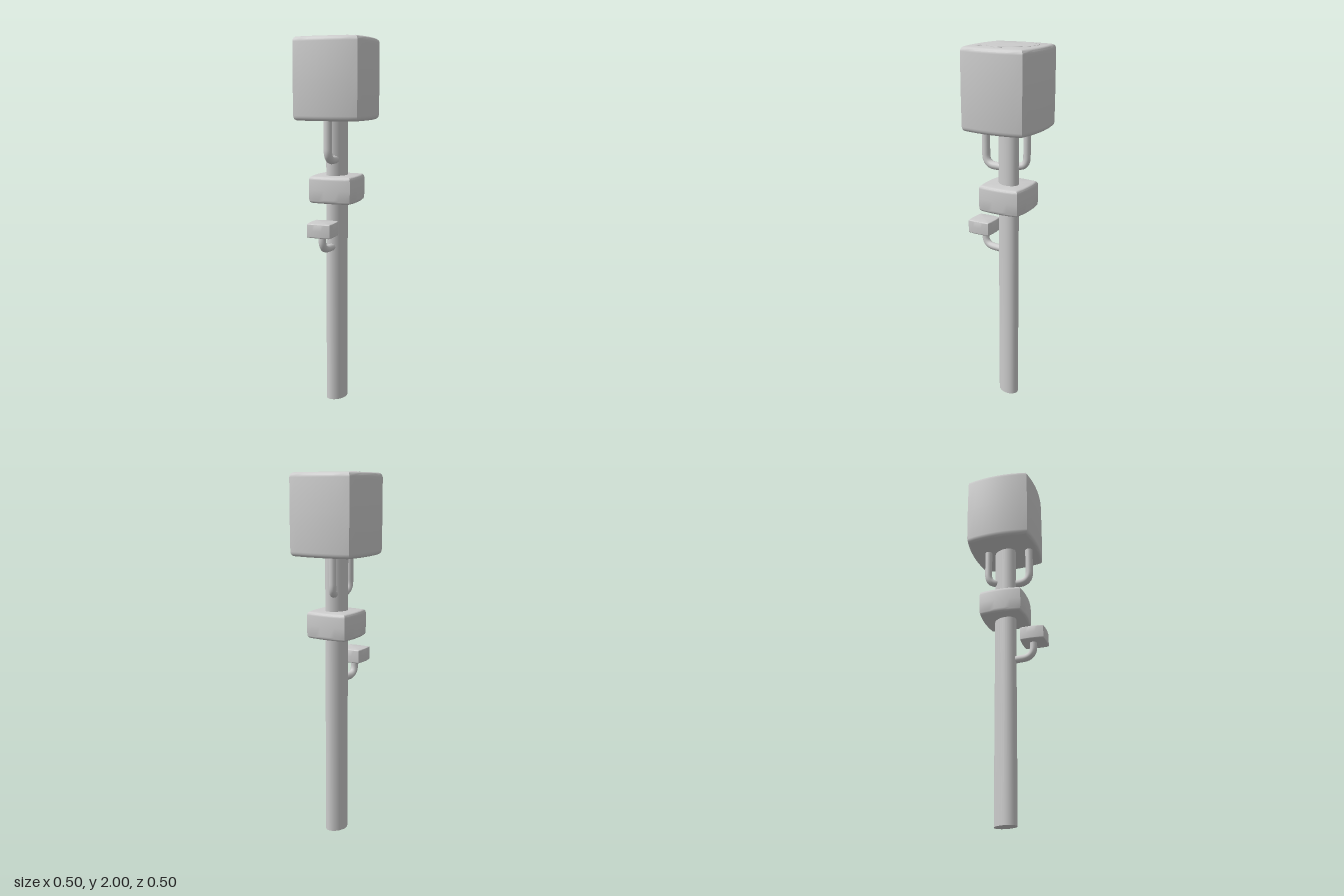
import * as THREE from 'three';
import { toCreasedNormals } from 'three/addons/utils/BufferGeometryUtils.js';

const material = new THREE.MeshStandardMaterial({ color: 0xcccccc });
const V = (x, y, z) => new THREE.Vector3(x, y, z);

function add(group, name, geometry, position) {
  const mesh = new THREE.Mesh(geometry, material);
  mesh.name = name;
  if (position) mesh.position.copy(position);
  group.add(mesh);
  return mesh;
}

// Unit diamond outline with gently bulging sides
function diamond(bulge, steps = 8) {
  const corners = [[0, 1], [1, 0], [0, -1], [-1, 0]];
  const points = [];
  corners.forEach(([ax, az], i) => {
    const [bx, bz] = corners[(i + 1) % 4];
    for (let k = 0; k < steps; k++) {
      const t = k / steps, b = 4 * t * (1 - t) * bulge;
      points.push([ax + (bx - ax) * t + (ax + bx) * b, az + (bz - az) * t + (az + bz) * b]);
    }
  });
  return points;
}

// Leaf block: the diamond swept up a profile of [radius, y], softened at top and bottom
function leafBlock(r, y0, y1, soft, bulge) {
  const h = y1 - y0;
  const rings = [[0, y0]];
  for (let i = 0; i <= 4; i++) {
    const a = (i / 4) * Math.PI / 2;
    rings.push([r - soft * (1 - Math.sin(a)), y0 + soft * (1 - Math.cos(a))]);
  }
  rings.push([r * 1.005, y0 + h / 2]);
  for (let i = 4; i >= 0; i--) {
    const a = (i / 4) * Math.PI / 2;
    rings.push([r - soft * (1 - Math.sin(a)), y1 - soft * (1 - Math.cos(a))]);
  }
  rings.push([0, y1]);
  const outline = diamond(bulge), n = outline.length;
  const position = [], index = [];
  for (const [s, y] of rings) for (const [x, z] of outline) position.push(x * s, y, z * s);
  for (let j = 0; j < rings.length - 1; j++) {
    for (let i = 0; i < n; i++) {
      const a = j * n + i, b = j * n + (i + 1) % n, c = a + n, d = b + n;
      if (j > 0) index.push(a, d, c, ...[]);
      if (j > 0) index.push(a, b, d);
      else index.push(a, d, c);
    }
  }
  // The outline runs from +z to +x, which is counter-clockwise seen from above
  const geometry = new THREE.BufferGeometry();
  geometry.setAttribute('position', new THREE.Float32BufferAttribute(position, 3));
  geometry.setIndex(index);
  return toCreasedNormals(geometry, 0.6);
}

// Bent branch: out from the trunk, round the elbow, then straight up
function branch(group, name, start, elbow, top, r) {
  const bend = 0.06;
  const inner = elbow.clone().lerp(start, Math.min(0.75, bend / elbow.distanceTo(start)));
  const upper = elbow.clone().add(V(0, bend, 0));
  const path = new THREE.CurvePath();
  path.add(new THREE.LineCurve3(start, inner));
  path.add(new THREE.QuadraticBezierCurve3(inner, elbow, upper));
  path.add(new THREE.LineCurve3(upper, V(elbow.x, top, elbow.z)));
  add(group, name, new THREE.TubeGeometry(path, 36, r, 12));
  add(group, name + 'End', new THREE.SphereGeometry(r, 12, 8), start);
}

export function createModel() {
  const tree = new THREE.Group();
  tree.name = 'tree';

  // Slightly oval trunk
  const trunk = add(tree, 'trunk', new THREE.CylinderGeometry(1, 1, 1.65, 32), V(0, 0.825, 0));
  trunk.scale.set(0.0665, 1, 0.048);
  trunk.rotation.y = 0.33;

  // Foliage
  add(tree, 'crown', leafBlock(0.25, 1.57, 1.996, 0.025, 0.06));
  add(tree, 'middleLeaves', leafBlock(0.164, 1.13, 1.275, 0.02, 0.05));
  add(tree, 'smallLeaves', leafBlock(0.09, 0.965, 1.04, 0.006, 0.04), V(-0.13, 0, 0.107));

  // Shallow swellings on the crown's top: x, z, half width, half depth, turn
  const swellings = [
    [0.003, -0.022, 0.105, 0.138, 0],
    [-0.055, -0.115, 0.038, 0.048, 0],
    [-0.013, 0.157, 0.026, 0.018, -0.5],
    [0.115, 0.086, 0.013, 0.021, -0.3],
  ];
  for (const [x, z, rx, rz, turn] of swellings) {
    const dome = add(tree, 'crownSwelling',
      new THREE.SphereGeometry(1, 28, 6, 0, Math.PI * 2, 0, Math.PI / 2), V(x, 1.996, z));
    dome.scale.set(rx, 0.004, rz);
    dome.rotation.y = turn;
  }

  // Branches
  branch(tree, 'frontBranch', V(-0.025, 1.362, 0.035), V(-0.097, 1.362, 0.1), 1.6, 0.022);
  branch(tree, 'backBranch', V(0.015, 1.375, -0.025), V(0.045, 1.365, -0.087), 1.6, 0.02);
  branch(tree, 'lowBranch', V(-0.04, 0.885, 0.03), V(-0.13, 0.885, 0.1), 0.99, 0.02);

  return tree;
}
